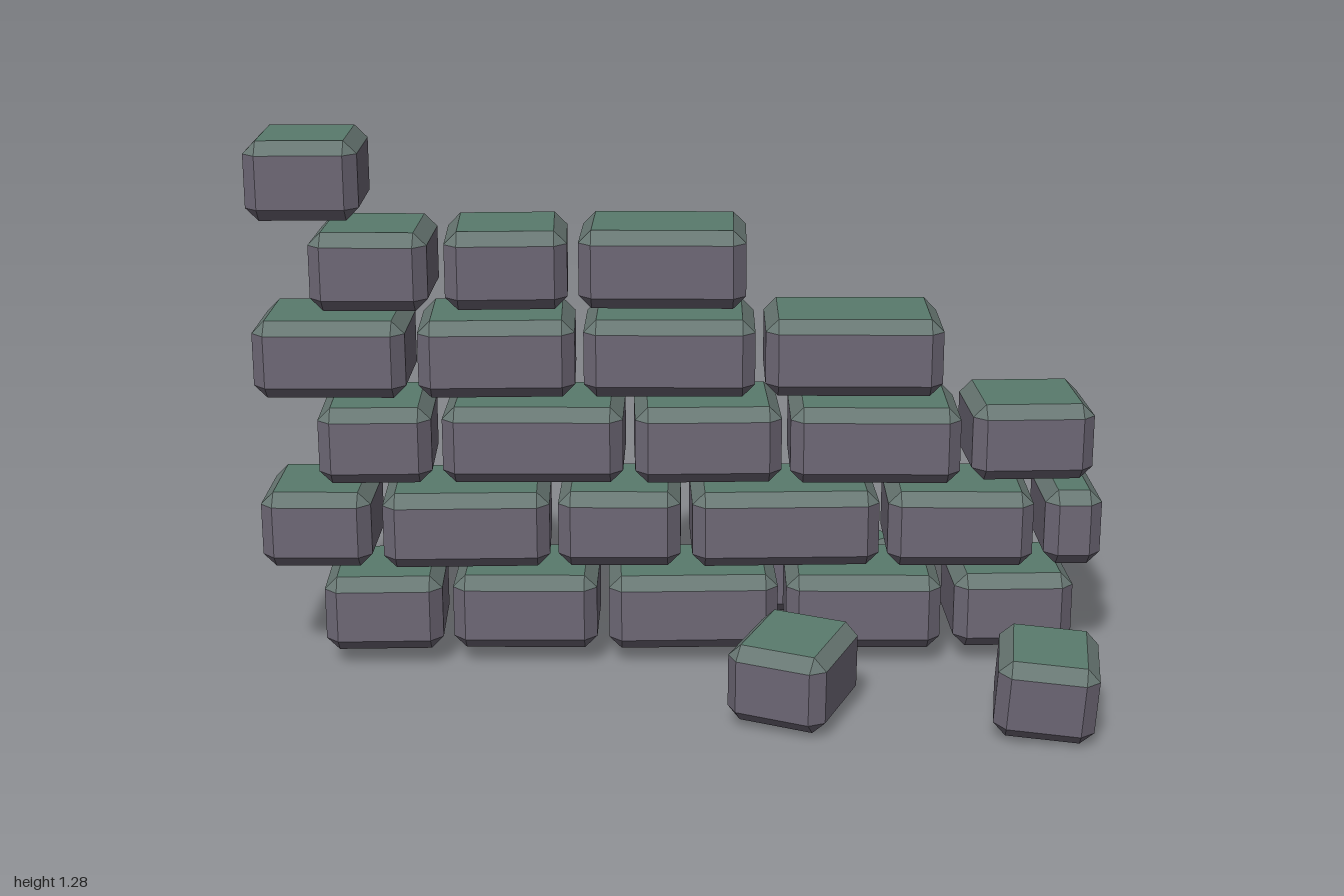
import * as THREE from 'three';
import { ConvexGeometry } from 'three/addons/geometries/ConvexGeometry.js';

const BEVEL = 0.03, HEIGHT = 0.185, DEPTH = 0.275, ROW_STEP = 0.21, FIRST_ROW = 0.1375;

// Bevelled block with three face groups: sides, upper bevels and top
function brickGeometry(w, h, d) {
  const points = [];
  for (const sx of [-1, 1]) for (const sy of [-1, 1]) for (const sz of [-1, 1])
    for (let axis = 0; axis < 3; axis++) {
      const half = [w / 2, h / 2, d / 2].map((v, i) => (i === axis ? v : v - BEVEL));
      points.push(new THREE.Vector3(sx * half[0], sy * half[1], sz * half[2]));
    }
  const hull = new ConvexGeometry(points);
  const pos = hull.attributes.position, nor = hull.attributes.normal;
  const buckets = [[], [], []];
  for (let i = 0; i < pos.count; i++) {
    const ny = nor.getY(i);
    buckets[ny > 0.9 ? 2 : ny > 0.3 ? 1 : 0].push(pos.getX(i), pos.getY(i), pos.getZ(i));
  }
  const geometry = new THREE.BufferGeometry();
  geometry.setAttribute('position', new THREE.Float32BufferAttribute(buckets.flat(), 3));
  let start = 0;
  buckets.forEach((b, i) => {
    geometry.addGroup(start, b.length / 3, i);
    start += b.length / 3;
  });
  geometry.computeVertexNormals();
  return geometry;
}

// Each course from the bottom up: [left edge, right edge, centre z, yaw]
const courses = [
  [[-0.86, -0.575, -0.085, 0.02], [-0.55, -0.2, -0.09, -0.02], [-0.18, 0.23, -0.085, 0.02],
    [0.25, 0.625, -0.08, -0.02], [0.65, 0.94, -0.09, 0.02]],
  [[-1, -0.735, -0.095, -0.02], [-0.715, -0.315, -0.085, 0.02], [-0.295, 0, -0.09, -0.02],
    [0.02, 0.47, -0.085, 0.02], [0.49, 0.84, -0.08, -0.02], [0.865, 1, -0.09, 0]],
  [[-0.86, -0.59, -0.09, 0.02], [-0.565, -0.135, -0.09, -0.02], [-0.115, 0.235, -0.085, 0.02],
    [0.255, 0.66, -0.075, -0.02], [0.68, 0.975, -0.1, 0.03]],
  [[-1, -0.64, -0.09, -0.02], [-0.62, -0.25, -0.09, 0.02], [-0.23, 0.175, -0.09, -0.02],
    [0.195, 0.615, -0.09, -0.02]],
  [[-0.86, -0.58, -0.085, -0.03], [-0.555, -0.265, -0.095, 0.03], [-0.24, 0.155, -0.1, -0.03]],
  [[-1, -0.74, -0.1, 0]],
];

// Loose bricks: position, rotation, width, depth
const fallen = [
  [[0.25, 0.112, 0.325], [0.03, -0.41, -0.02], 0.235, 0.275],
  [[0.818, 0.11, 0.4], [0.06, -0.15, -0.06], 0.225, 0.255],
  [[0.275, 0.105, -0.39], [0.04, -0.26, 0.06], 0.23, 0.24],
  [[0.41, 0.11, -0.385], [0.07, 0.57, 0.02], 0.225, 0.265],
];

export function createModel() {
  const make = (name, color) => {
    const m = new THREE.MeshStandardMaterial({ color });
    m.name = name;
    return m;
  };
  const materials = [make('stone', 0x6e6876), make('mossyEdge', 0x687773), make('moss', 0x597a6c)];

  const model = new THREE.Group();
  model.name = 'brokenWall';
  const addBrick = (parent, name, w, d, position, rotation) => {
    const brick = new THREE.Mesh(brickGeometry(w, HEIGHT, d), materials);
    brick.name = name;
    brick.position.set(...position);
    brick.rotation.set(...rotation, 'YXZ');
    parent.add(brick);
  };

  // Standing wall
  courses.forEach((bricks, row) => {
    const course = new THREE.Group();
    course.name = `course${row + 1}`;
    bricks.forEach(([x0, x1, z, yaw], i) => {
      const w = x1 - x0 - (DEPTH - 2 * BEVEL) * Math.abs(yaw);
      addBrick(course, `brick${i + 1}`, w, DEPTH,
        [(x0 + x1) / 2, FIRST_ROW + row * ROW_STEP, z], [0, yaw, 0]);
    });
    model.add(course);
  });

  // Rubble around the foot
  const rubble = new THREE.Group();
  rubble.name = 'fallenBricks';
  fallen.forEach(([p, r, w, d], i) => addBrick(rubble, `fallenBrick${i + 1}`, w, d, p, r));
  model.add(rubble);
  return model;
}
